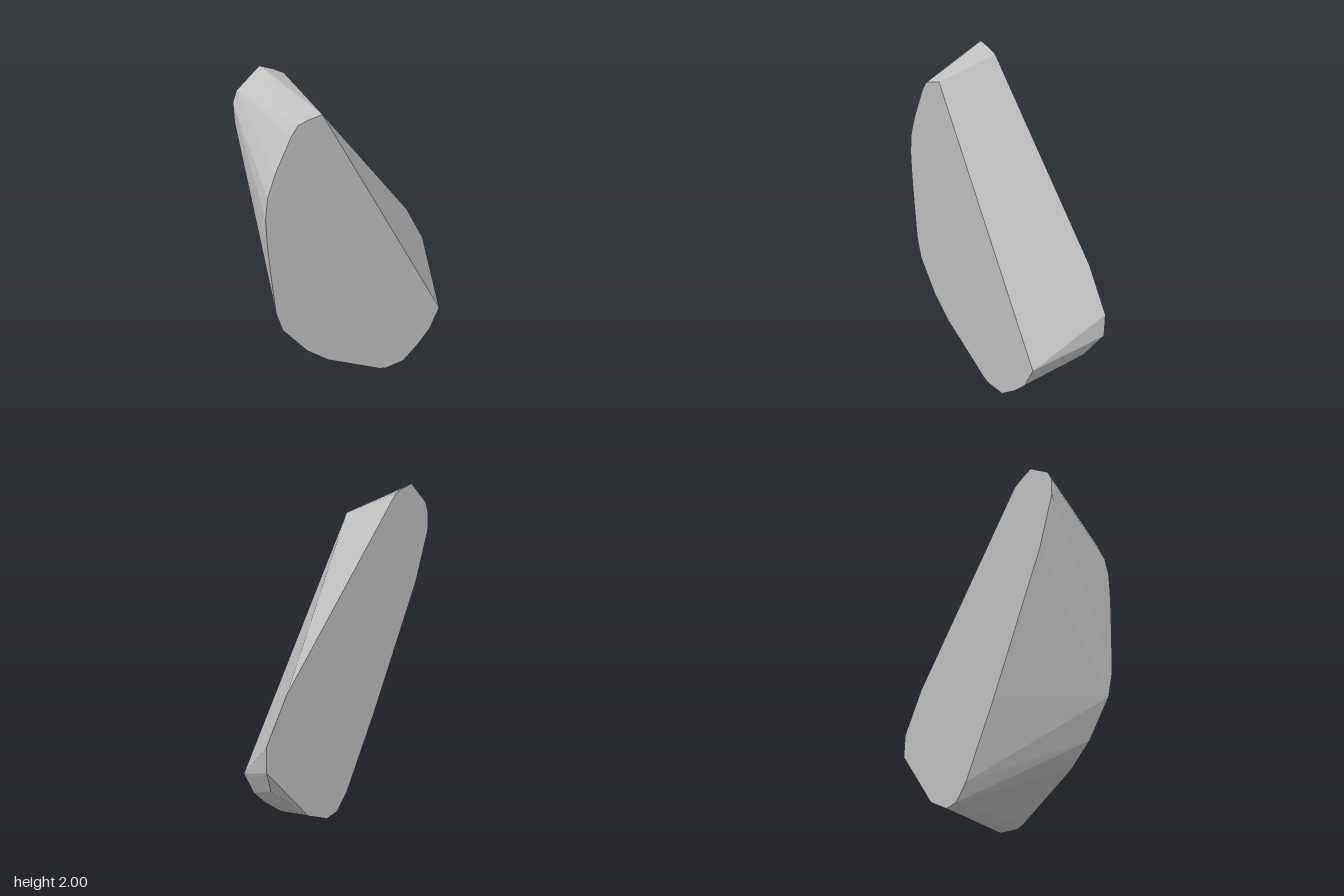
import * as THREE from 'three';
import { ConvexGeometry } from 'three/addons/geometries/ConvexGeometry.js';

// Outlines of the two flat faces of the stone, as [x, y]
const FRONT = [
  [-0.33, 1.83], [-0.42, 1.815], [-0.47, 1.8], [-0.51, 1.75], [-0.61, 1.57],
  [-0.66, 1.45], [-0.68, 1.33], [-0.68, 1.18], [-0.67, 0.97], [-0.655, 0.73],
  [-0.62, 0.6], [-0.47, 0.39], [-0.33, 0.26], [0.05, 0.02], [0.1, 0],
  [0.24, 0], [0.36, 0.09], [0.45, 0.18], [0.52, 0.32],
];
const BACK = [
  [-0.47, 2], [-0.39, 1.97], [-0.33, 1.94], [0.53, 0.87], [0.675, 0.61],
  [0.675, 0.47], [0.38, 0.14], [0.235, 0.08], [0.15, 0.1], [0.07, 0.2],
  [-0.15, 0.62], [-0.53, 1.41], [-0.635, 1.72], [-0.635, 1.83], [-0.61, 1.89],
];
const HALF_DEPTH = 0.204;

export function createModel() {
  const group = new THREE.Group();
  group.name = 'stone';

  const grey = new THREE.MeshStandardMaterial({ color: 0xc0c0c0 });
  grey.name = 'stone grey';
  grey.flatShading = true;

  // Faceted slab spanning both outlines, with one bulge on the lower edge
  const points = [
    ...FRONT.map(([x, y]) => new THREE.Vector3(x, y, HALF_DEPTH)),
    ...BACK.map(([x, y]) => new THREE.Vector3(x, y, -HALF_DEPTH)),
    new THREE.Vector3(0.59, 0.325, -0.13),
  ];
  const slab = new THREE.Mesh(new ConvexGeometry(points), grey);
  slab.name = 'stoneSlab';
  group.add(slab);
  return group;
}
